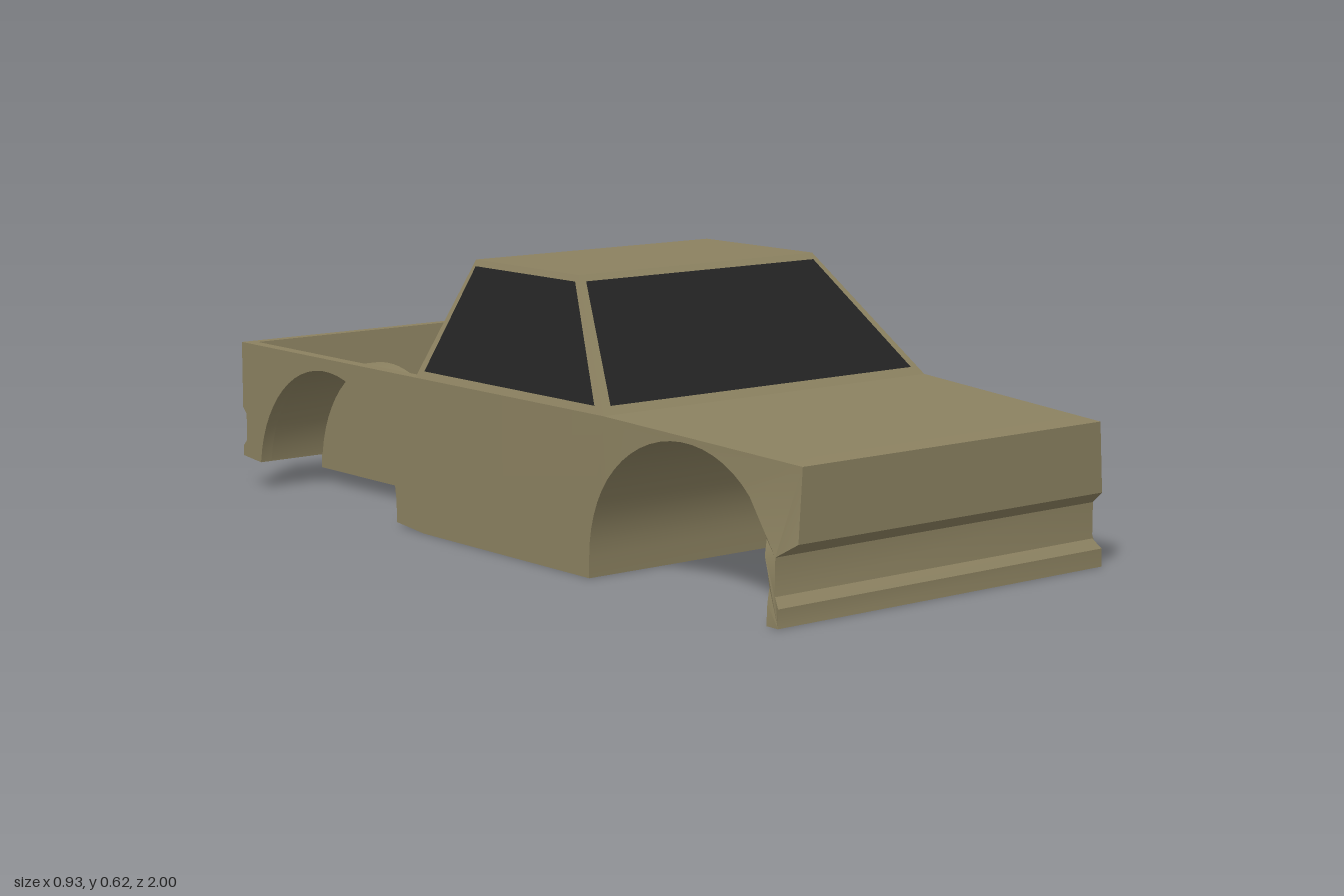
import * as THREE from 'three';
import { toCreasedNormals } from 'three/addons/utils/BufferGeometryUtils.js';

const paint = new THREE.MeshStandardMaterial({ color: 0x8b8160 });
const panelPaint = new THREE.MeshStandardMaterial({ color: 0x8b8160, side: THREE.DoubleSide });
const glass = new THREE.MeshStandardMaterial({ color: 0x222222, side: THREE.DoubleSide });

const HALF = 0.465, BED = 0.435, WELL = 0.285, BELT = 0.355, FLOOR = 0.19;

// Points of a wheel arch, as [z, y], from angle a to angle b
function arc(z, y, r, a, b, n = 28) {
  return Array.from({ length: n + 1 }, (_, i) => {
    const t = a + (b - a) * i / n;
    return [z + r * Math.cos(t), y + r * Math.sin(t)];
  });
}

const toShape = (pts) => new THREE.Shape(pts.map(([z, y]) => new THREE.Vector2(z, y)));

// Side profile [z, y] extruded across the car from x0 to x1
function slab(pts, x0, x1) {
  const g = new THREE.ExtrudeGeometry(toShape(pts), { depth: x1 - x0, bevelEnabled: false });
  return g.rotateY(-Math.PI / 2).translate(x1, 0, 0);
}

function add(group, name, geometry, material = paint) {
  const mesh = new THREE.Mesh(geometry, material);
  mesh.name = name;
  group.add(mesh);
  return mesh;
}

// Piecewise linear inset of the fenders by height
function insetAt(y) {
  const keys = [[0, 0], [0.04, 0], [0.06, 0.01], [0.14, 0.01], [0.17, 0.03], [0.325, 0.04], [1, 0.04]];
  const i = keys.findIndex((k, j) => j > 0 && y <= k[0]);
  const [a, b] = [keys[Math.max(i, 1) - 1], keys[Math.max(i, 1)]];
  return a[1] + (b[1] - a[1]) * Math.max(0, y - a[0]) / (b[0] - a[0]);
}

// Quad as two triangles, corners counter-clockwise from outside
const quad = (a, b, c, d) => [a, b, c, a, c, d].flatMap((v) => v.toArray());

function fromPositions(list) {
  const g = new THREE.BufferGeometry();
  g.setAttribute('position', new THREE.Float32BufferAttribute(list, 3));
  g.computeVertexNormals();
  return g;
}

export function createModel() {
  const car = new THREE.Group();
  car.name = 'pickupBody';

  // Front half: hood, nose, bumper, open front arch and cab base
  const front = slab([
    [-0.28, 0.004], [-0.24, 0], [0.37, 0],
    ...arc(0.655, 0.045, 0.285, Math.PI, 0),
    [0.94, 0], [0.975, 0], [0.975, 0.04], [0.955, 0.06], [0.955, 0.14],
    [1, 0.17], [1, 0.325], [0.42, BELT], [-0.28, BELT],
  ], -HALF, HALF);
  const p = front.attributes.position;
  for (let i = 0; i < p.count; i++) {
    const t = Math.max(0, (p.getZ(i) - 0.42) / 0.58);
    p.setX(i, Math.sign(p.getX(i)) * (HALF - t * insetAt(p.getY(i))));
  }
  add(car, 'frontBody', toCreasedNormals(front, 0.5));

  // Shared rear outlines
  const tail = [[-1, BELT], [-1, 0.195], [-0.985, 0.18], [-0.985, 0.115], [-1, 0.1], [-1, 0.075]];
  const archZ = -0.635, archY = 0.035, archR = 0.29;
  const rearArch = [
    [-0.923, 0.068], ...arc(archZ, archY, archR, Math.PI - 0.13, 0), [-0.345, 0.01],
  ];
  const bedFront = [[-0.28, 0.004], [-0.28, BELT], [-0.305, FLOOR]];
  const bedRear = [[-0.95, FLOOR], [-0.975, BELT]];

  // Middle of the bed with its end walls and tailgate
  add(car, 'bedFloor', toCreasedNormals(slab([...bedFront, ...bedRear, ...tail], -WELL, WELL), 0.5));

  // Bed strips over the wheels, with the arch rising as a hump through the floor
  const humpR = archR + 0.004;
  const humpA = Math.asin((FLOOR - archY) / humpR);
  const strip = [
    ...bedFront, ...arc(archZ, archY, humpR, humpA, Math.PI - humpA), ...bedRear, ...tail, ...rearArch,
  ];
  const side = [[-0.28, 0.004], [-0.28, BELT], ...tail, ...rearArch];
  const wall = arc(archZ, archY, archR + 0.002, 0, Math.PI);

  for (const s of [1, -1]) {
    const label = s > 0 ? 'left' : 'right';
    const span = (a, b) => (s > 0 ? [a, b] : [-b, -a]);
    add(car, label + 'WheelHump', toCreasedNormals(slab(strip, ...span(WELL, BED)), 0.5));
    add(car, label + 'BedSide', toCreasedNormals(slab(side, ...span(BED, HALF)), 0.5));
    const inner = new THREE.ShapeGeometry(toShape(wall)).rotateY(-Math.PI / 2);
    add(car, label + 'WheelWellWall', inner.translate(s * (WELL + 0.002), 0, 0), panelPaint);
  }

  // Cab: belt loop to roof loop, corners counter-clockwise seen from above
  const loop = (x, y, zf, zb) => [[-x, zf], [x, zf], [x, zb], [-x, zb]].map(([a, z]) => new THREE.Vector3(a, y, z));
  const low = loop(HALF, BELT, 0.42, -0.265);
  const top = loop(0.34, 0.62, 0.175, -0.2);
  const cab = quad(...top);
  const names = ['windshield', 'leftWindow', 'rearWindow', 'rightWindow'];
  names.forEach((name, i) => {
    const j = (i + 1) % 4;
    const [a, b, c, d] = [low[i], low[j], top[j], top[i]];
    cab.push(...quad(a, b, c, d));

    // Glass lies just proud of each face, inside a narrow frame
    const n = b.clone().sub(a).cross(d.clone().sub(a)).normalize().multiplyScalar(0.002);
    const at = (u, v) => a.clone().lerp(b, u).lerp(d.clone().lerp(c, u), v).add(n);
    const m = i % 2 ? 0.035 : 0.024;
    add(car, name, fromPositions(quad(at(m, 0.06), at(1 - m, 0.06), at(1 - m, 0.945), at(m, 0.945))), glass);
  });
  add(car, 'cab', fromPositions(cab));

  return car;
}
